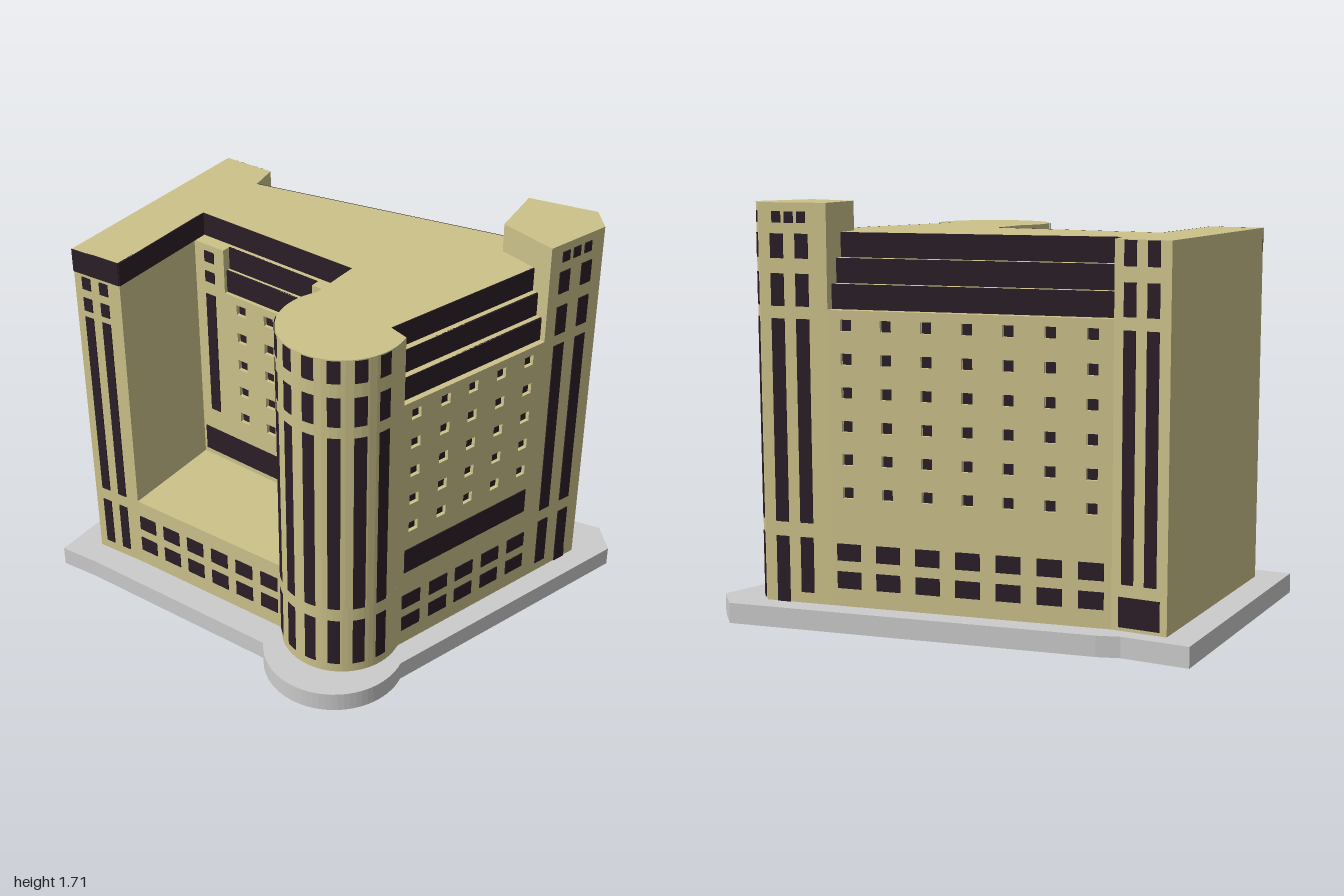
import * as THREE from 'three';
import { mergeGeometries } from 'three/addons/utils/BufferGeometryUtils.js';

const stone = new THREE.MeshStandardMaterial({ color: 0xccc28a });
const glass = new THREE.MeshStandardMaterial({ color: 0x2b1e27 });
const paving = new THREE.MeshStandardMaterial({ color: 0xcccccc });

// Plan corners as [x, z]
const W1 = [-0.88, 0.56], W2 = [-0.65, 0.55];          // left wing front
const C1 = [-0.645, 0.085], C2 = [0.12, 0.12];         // courtyard back wall
const R1 = [0.57, 0.365], R2 = [0.785, -0.325];        // right facade
const T1 = [0.87, -0.6], T2 = [0.79, -0.695];          // corner tower chamfer
const B1 = [0.505, -0.645], B2 = [-0.64, -0.44], B3 = [-0.87, -0.44]; // back
const DRUM = [0.325, 0.42, 0.25];
const FLOOR = 0.42, EAVES = 1.29, SKIN = 0.02;
const TALL = [[0.13, 0.36], [0.42, 1.25], [1.3, 1.43], [1.49, 1.588]];
const ROWS = [0.69, 0.825, 0.96, 1.095, 1.23];

const rad = THREE.MathUtils.degToRad;

function arc([cx, cz, r], a0, a1, n = 32) {
  return Array.from({ length: n + 1 }, (_, i) => {
    const a = rad(a0 + (a1 - a0) * i / n);
    return [cx + r * Math.sin(a), cz + r * Math.cos(a)];
  });
}

// Point on a wall line at a given x
const onLine = (a, b, x) => [x, a[1] + (b[1] - a[1]) * (x - a[0]) / (b[0] - a[0])];

// Wall line moved inwards by d
function inset(a, b, d) {
  const dx = b[0] - a[0], dz = b[1] - a[1], l = Math.hypot(dx, dz);
  return [a, b].map(p => [p[0] + dz / l * d, p[1] - dx / l * d]);
}
const notch = (a, b, d) => [a, ...inset(a, b, d), b];

function prism(name, pts, y0, y1, material) {
  const shape = new THREE.Shape(pts.map(p => new THREE.Vector2(p[0], -p[1])));
  const geo = new THREE.ExtrudeGeometry(shape, { depth: y1 - y0, bevelEnabled: false });
  geo.rotateX(-Math.PI / 2).translate(0, y0, 0);
  const mesh = new THREE.Mesh(geo, material);
  mesh.name = name;
  return mesh;
}

// One wall: windows are placed by the world coordinate (0 = x, 1 = z) along it
class Facade {
  constructor(name, a, b, axis = 0) {
    this.a = a; this.b = b; this.axis = axis; this.panes = [];
    this.group = new THREE.Group();
    this.group.name = name;
    this.group.position.set(a[0], 0, a[1]);
    this.group.rotation.y = Math.atan2(-(b[1] - a[1]), b[0] - a[0]);
    this.length = Math.hypot(b[0] - a[0], b[1] - a[1]);
  }
  along(c) {
    const k = this.axis;
    return this.length * (c - this.a[k]) / (this.b[k] - this.a[k]);
  }
  pane(c0, c1, y0, y1, depth = 0) {
    const u0 = this.along(c0), u1 = this.along(c1);
    const geo = new THREE.BoxGeometry(Math.abs(u1 - u0), y1 - y0, 0.008);
    this.panes.push(geo.translate((u0 + u1) / 2, (y0 + y1) / 2, -depth));
    return this;
  }
  columns(centres, width, spans) {
    for (const c of centres) for (const [y0, y1] of spans)
      this.pane(c - width / 2, c + width / 2, y0, y1);
    return this;
  }
  // Wall skin pierced by a grid of small deep-set windows
  pierced(centres, rows, size) {
    const L = this.length, h = size / 2;
    const rect = (u0, u1, y0, y1) => [[u0, y0], [u1, y0], [u1, y1], [u0, y1]].map(p => new THREE.Vector2(...p));
    const shape = new THREE.Shape(rect(0, L, FLOOR, EAVES));
    for (const c of centres) for (const y of rows) {
      const u = this.along(c);
      shape.holes.push(new THREE.Path(rect(u - h, u + h, y - h, y + h)));
      this.pane(c - h * 0.9, c + h * 0.9, y - h, y + h, SKIN);
    }
    const geo = new THREE.ExtrudeGeometry(shape, { depth: SKIN, bevelEnabled: false });
    const mesh = new THREE.Mesh(geo.translate(0, 0, -SKIN), stone);
    mesh.name = 'piercedWall';
    this.group.add(mesh);
    return this;
  }
  finish(parent) {
    const mesh = new THREE.Mesh(mergeGeometries(this.panes), glass);
    mesh.name = 'windows';
    this.group.add(mesh);
    parent.add(this.group);
  }
}

export function createModel() {
  const model = new THREE.Group();
  model.name = 'building';

  // Paved base
  model.add(prism('base', [[-1, 0.68], [-0.83, 0.67], ...arc([0.35, 0.51, 0.295], -57, 102),
    [1, -0.7], [0.9, -0.81], [-0.62, -0.54], [-0.71, -0.51], [-0.99, -0.51]], 0, 0.085, paving));

  // Body: podium, main storeys and stepped upper storeys
  model.add(prism('podium', [W1, W2, ...arc(DRUM, -59, 100), R1, R2, T1, T2, B1, B2, B3], 0.085, FLOOR, stone));
  const K1 = onLine(C1, C2, -0.49), K2 = onLine(C1, C2, -0.03);
  const body = (name, y0, y1, court, right, back) => model.add(prism(name,
    [W1, W2, ...court, ...arc(DRUM, -123, 100), ...notch(R1, R2, right), T1, T2, ...notch(B1, B2, back), B3], y0, y1, stone));
  body('mainStoreys', FLOOR, EAVES, notch(C1, C2, SKIN), SKIN, SKIN);
  const topCourt = inset(C1, C2, 0.062);
  for (let i = 0; i < 3; i++) {
    const y0 = EAVES + i * 0.1, y1 = y0 + 0.1, right = 0.029 * (i + 1), back = 0.044 * (i + 1);
    const court = i < 2 ? [C1, ...notch(K1, K2, 0.02 * (i + 1)), C2] : notch(C1, C2, 0.062);
    body('steppedStorey', y0, y1, court, right, back);
    // Glazed bands on the setbacks
    const [r1, r2] = inset(R1, R2, right), [b1, b2] = inset(B1, B2, back);
    new Facade('rightBand', r1, r2, 1).pane(r1[1], r2[1], y0, y1).finish(model);
    new Facade('backBand', b1, b2).pane(b1[0], b2[0], y0, y1).finish(model);
    const [c1, c2] = i < 2 ? inset(K1, K2, 0.02 * (i + 1)) : topCourt;
    new Facade('courtyardBand', c1, c2).pane(c1[0], c2[0], y0, y1).finish(model);
  }

  // Corner tower top
  model.add(prism('towerTop', [[0.535, -0.395], R2, T1, T2, B1], EAVES, 1.71, stone));

  // Left wing
  const small = [[1.32, 1.38], [1.42, 1.475]];
  new Facade('wingFront', W1, W2).columns([-0.82, -0.733], 0.042, [[0.13, 0.36], [0.42, 1.29], ...small])
    .pane(-0.88, -0.65, 1.49, 1.59).finish(model);
  new Facade('wingInner', W2, topCourt[0], 1).pane(W2[1], topCourt[0][1], 1.49, 1.59).finish(model);

  // Podium front
  new Facade('podiumFront', W2, [0.11, 0.55])
    .columns([-0.6, -0.47, -0.34, -0.21, -0.08, 0.05], 0.085, [[0.16, 0.23], [0.275, 0.345]]).finish(model);

  // Courtyard wall
  new Facade('courtyardWall', C1, C2).pierced([-0.405, -0.26, -0.115], ROWS, 0.048)
    .columns([-0.567, 0.03], 0.05, [[0.67, 1.255], [1.315, 1.365], [1.41, 1.46]])
    .pane(-0.63, 0.075, 0.445, 0.565).finish(model);

  // Right facade and tower side
  const cols = [0.305, 0.165, 0.03, -0.11, -0.25];
  new Facade('rightFacade', R1, R2, 1).pierced(cols, ROWS, 0.046)
    .columns(cols, 0.092, [[0.16, 0.23], [0.275, 0.345]])
    .pane(0.345, -0.285, 0.465, 0.58).finish(model);
  new Facade('towerRight', R2, T1, 1).columns([-0.402, -0.515], 0.053, TALL)
    .columns([-0.402, -0.458, -0.515], 0.037, [[1.63, 1.675]])
    .pane(-0.49, -0.545, 0.085, 0.13).finish(model);
  new Facade('towerChamfer', T1, T2, 1).columns([-0.647], 0.034, TALL)
    .columns([-0.647], 0.02, [[1.63, 1.675]]).pane(-0.63, -0.664, 0.085, 0.13).finish(model);
  new Facade('towerBack', T2, B1).columns([0.715, 0.61], 0.055, TALL)
    .columns([0.715, 0.662, 0.61], 0.037, [[1.63, 1.675]])
    .pane(0.687, 0.743, 0.085, 0.13).finish(model);

  // Back facade and left back corner
  const backCols = Array.from({ length: 7 }, (_, i) => 0.43 - i * 0.165);
  new Facade('backFacade', B1, B2).pierced(backCols, [0.555, ...ROWS], 0.046)
    .columns(backCols, 0.1, [[0.16, 0.23], [0.275, 0.345]]).finish(model);
  new Facade('wingBack', B2, B3).columns([-0.705, -0.8], 0.05, [[0.27, 1.25], ...TALL.slice(2)])
    .pane(-0.67, -0.84, 0.1, 0.22).finish(model);

  // Curved windows of the round corner
  const drum = [];
  for (let k = -3; k <= 3; k++) for (const [y0, y1] of TALL) {
    const geo = new THREE.CylinderGeometry(0.254, 0.254, y1 - y0, 3, 1, true, rad(4.5 + 22.9 * k - 5.7), rad(11.4));
    drum.push(geo.translate(DRUM[0], (y0 + y1) / 2, DRUM[1]));
  }
  const drumGlass = glass.clone();
  drumGlass.side = THREE.DoubleSide;
  const drumWindows = new THREE.Mesh(mergeGeometries(drum), drumGlass);
  drumWindows.name = 'roundCornerWindows';
  model.add(drumWindows);

  return model;
}
